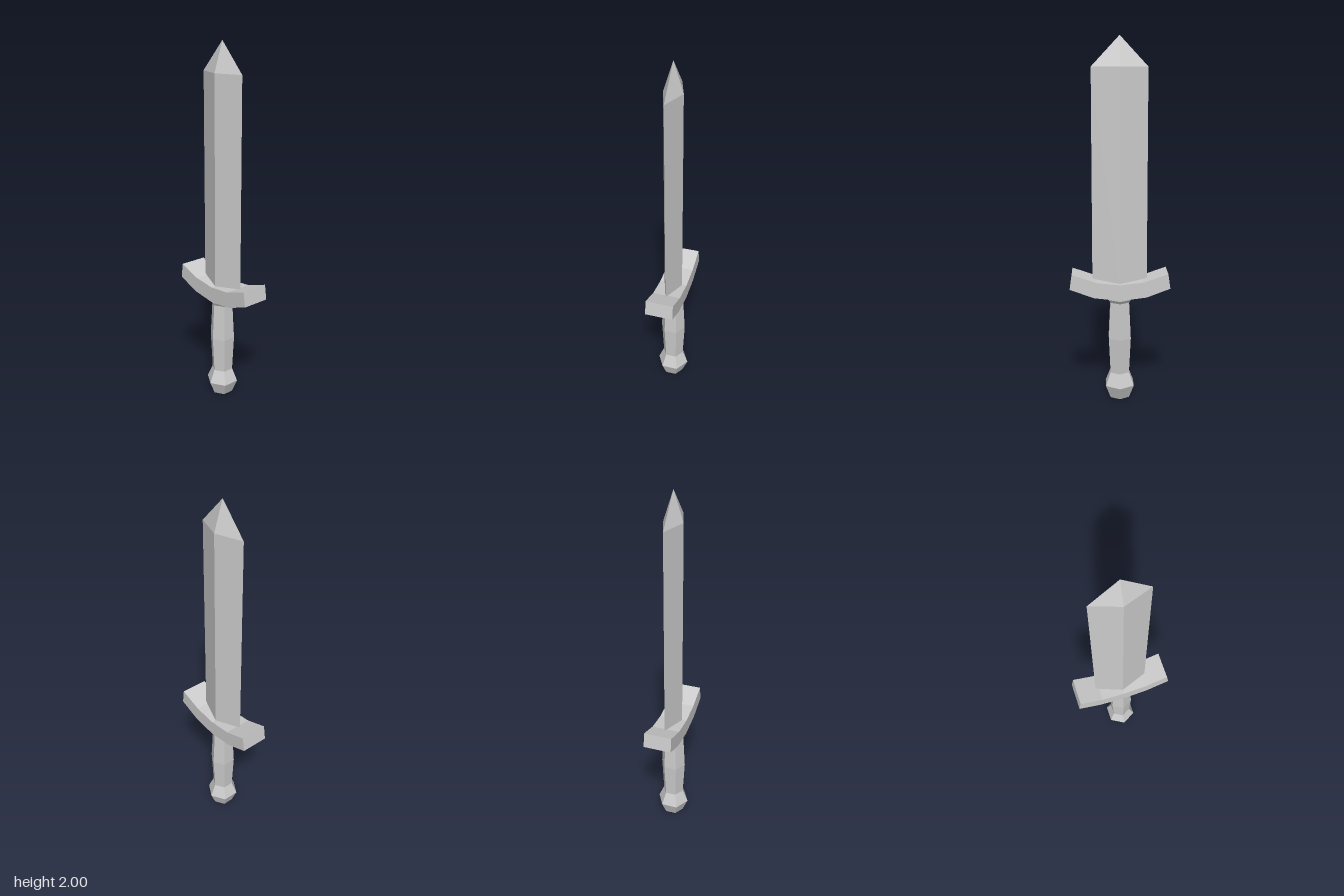
import * as THREE from 'three';

const material = new THREE.MeshStandardMaterial({ color: 0xcccccc, flatShading: true });

function part(name, geometry) {
  const mesh = new THREE.Mesh(geometry, material);
  mesh.name = name;
  return mesh;
}

// Faceted solid turned around y from [radius, height] pairs, bottom to top
function turned(profile, sides) {
  const points = profile.map(([r, y]) => new THREE.Vector2(r, y));
  return new THREE.LatheGeometry(points, sides, Math.PI / 2);
}

export function createModel() {
  const sword = new THREE.Group();
  sword.name = 'sword';

  // Blade: diamond section with a pointed tip, edges along z
  const blade = turned([[0, 0.64], [1, 0.64], [1, 1.84], [0, 2]], 4);
  blade.scale(0.052, 1, 0.151);
  sword.add(part('blade', blade));

  // Crossguard: curved bar drawn in z-y and extruded across x
  const lower = [[0, 0.588], [0.145, 0.606], [0.275, 0.655]];
  const upper = [[0.263, 0.738], [0.132, 0.692], [0, 0.677]];
  const half = [...lower, ...upper];
  const mirrored = half.slice(1, -1).reverse().map(([z, y]) => [-z, y]);
  const outline = [...half, ...mirrored].map(([z, y]) => new THREE.Vector2(z, y));
  const guard = new THREE.ExtrudeGeometry(new THREE.Shape(outline), { depth: 0.155, bevelEnabled: false });
  guard.translate(0, 0, -0.0775);
  guard.rotateY(-Math.PI / 2);
  sword.add(part('crossguard', guard));

  // Hexagonal handle pieces
  sword.add(part('pommel', turned([[0, 0], [0.06, 0], [0.091, 0.075], [0.06, 0.15]], 6)));
  sword.add(part('grip', turned([[0.06, 0.15], [0.071, 0.355], [0.06, 0.563]], 6)));
  sword.add(part('collar', turned([[0.06, 0.563], [0.071, 0.58], [0.071, 0.6], [0, 0.6]], 6)));

  return sword;
}
